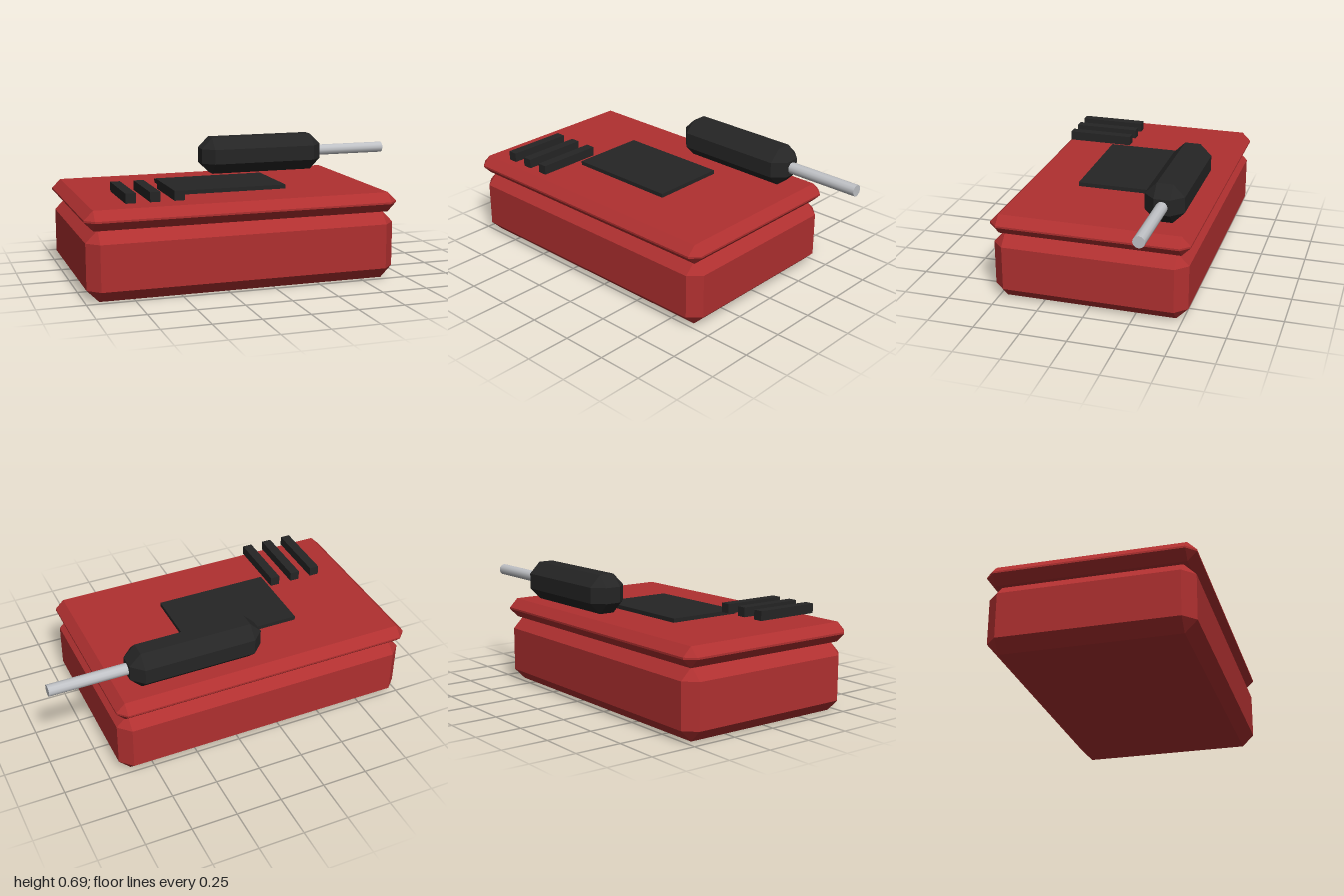
import * as THREE from 'three';
import { ConvexGeometry } from 'three/addons/geometries/ConvexGeometry.js';

// Box with every edge cut at 45 degrees and triangular corners
function chamferedBox(w, h, d, c) {
  const points = [];
  for (const sx of [-1, 1]) for (const sy of [-1, 1]) for (const sz of [-1, 1]) {
    const x = w / 2, y = h / 2, z = d / 2;
    points.push(
      new THREE.Vector3(sx * x, sy * (y - c), sz * (z - c)),
      new THREE.Vector3(sx * (x - c), sy * y, sz * (z - c)),
      new THREE.Vector3(sx * (x - c), sy * (y - c), sz * z)
    );
  }
  return new ConvexGeometry(points);
}

export function createModel() {
  const group = new THREE.Group();
  const material = (name, color) => {
    const m = new THREE.MeshStandardMaterial({ color });
    m.name = name;
    return m;
  };
  const red = material('red casing', 0xb03030);
  const black = material('black plastic', 0x252525);
  const metal = material('grey metal', 0xc0c2c6);

  const add = (name, geometry, mat, x, y, z) => {
    const mesh = new THREE.Mesh(geometry, mat);
    mesh.name = name;
    mesh.position.set(x, y, z);
    group.add(mesh);
    return mesh;
  };

  // Case
  add('caseBody', chamferedBox(1.675, 0.368, 1.05, 0.063), red, -0.153, 0.184, 0);
  add('caseLid', chamferedBox(1.69, 0.105, 1.07, 0.0475), red, -0.155, 0.4205, 0);

  // Flat panel on the lid
  add('lidPanel', new THREE.BoxGeometry(0.63, 0.022, 0.42), black, -0.154, 0.484, 0);

  // Three raised bars at the front
  for (let i = 0; i < 3; i++) {
    add(`bar${i + 1}`, new THREE.BoxGeometry(0.053, 0.051, 0.367), black,
      -0.759 + i * 0.126, 0.52, 0.289);
  }

  // Handle with a metal rod
  add('handle', chamferedBox(0.735, 0.21, 0.21, 0.0625), black, 0.2125, 0.588, -0.366);
  const rod = add('rod', new THREE.CylinderGeometry(0.0315, 0.0315, 0.47, 12), metal,
    0.765, 0.588, -0.366);
  rod.rotation.z = -Math.PI / 2;

  return group;
}
